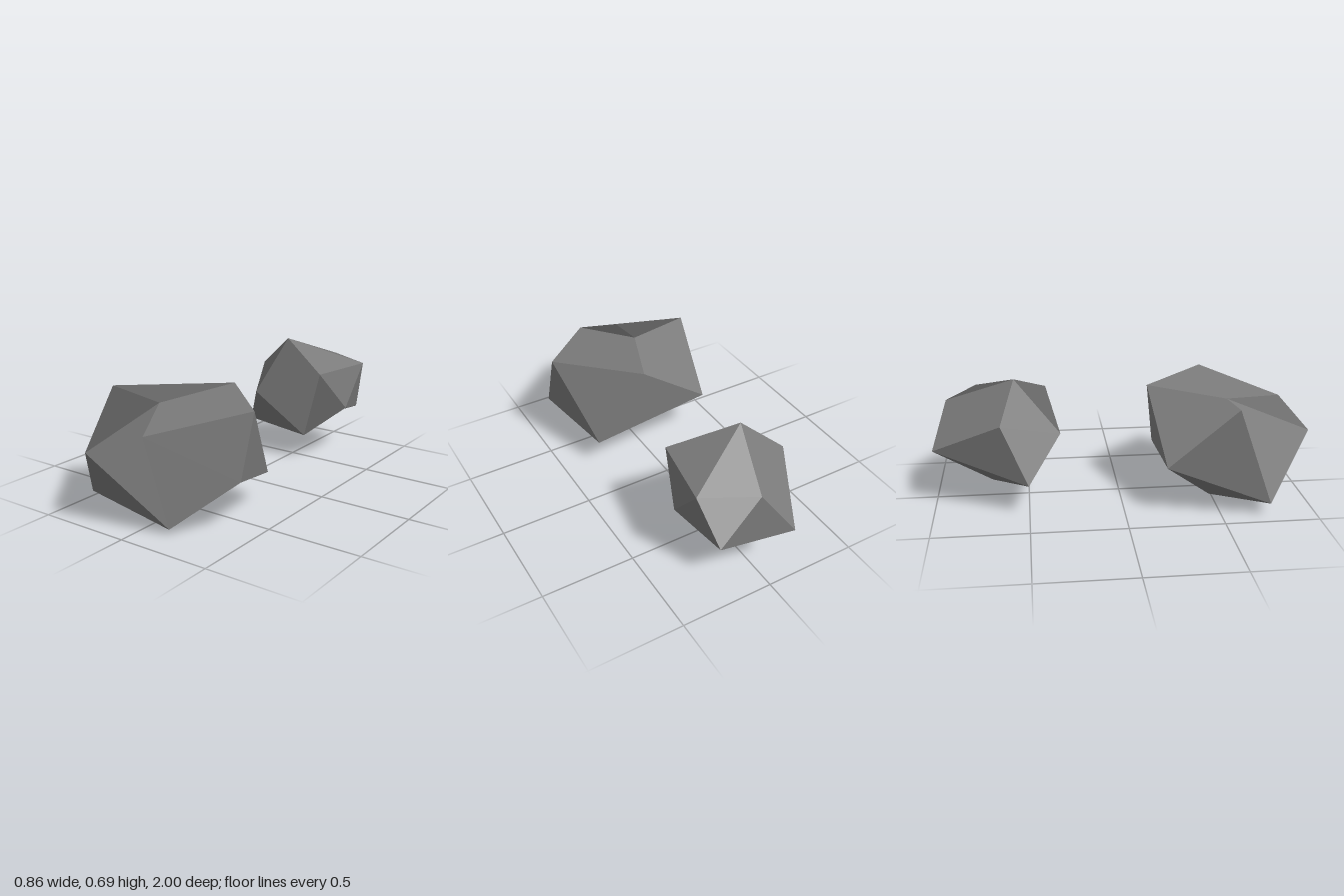
import * as THREE from 'three';

const material = new THREE.MeshStandardMaterial({ color: 0x7b7b7b });

// Corner numbers: 0 peak, 1-5 upper ring, 6-10 lower ring, 11 base.
// Four-cornered facets are bent along their first-third diagonal.
const sharedFacets = [
  [1, 6, 2, 0], [2, 7, 3, 0], [3, 8, 4, 0],    // back, left and front shoulders
  [6, 7, 2], [7, 8, 3], [9, 10, 5],            // flanks
  [11, 10, 9, 8], [11, 7, 6, 10], [11, 8, 7]   // underside
];
const largeRightSide = [[0, 4, 5, 1], [4, 8, 9, 5], [10, 6, 1, 5]];
const smallRightSide = [[5, 10, 1, 0], [0, 4, 5], [4, 9, 5], [8, 9, 4], [10, 6, 1]];

// A faceted boulder in which every facet, even a bent one, is shaded evenly
function makeRock(name, corners, facets) {
  const points = corners.map(c => new THREE.Vector3(...c));
  const positions = [], normals = [];
  for (const facet of facets) {
    const [a, b, c, d = a] = facet.map(i => points[i]);
    // Cross product of the diagonals (of two edges for a triangle)
    const normal = c.clone().sub(a).cross(d.clone().sub(b)).normalize();
    const triangles = facet.length === 4 ? [a, b, c, a, c, d] : [a, b, c];
    for (const p of triangles) {
      positions.push(...p.toArray());
      normals.push(...normal.toArray());
    }
  }
  const geometry = new THREE.BufferGeometry();
  geometry.setAttribute('position', new THREE.Float32BufferAttribute(positions, 3));
  geometry.setAttribute('normal', new THREE.Float32BufferAttribute(normals, 3));
  const mesh = new THREE.Mesh(geometry, material);
  mesh.name = name;
  return mesh;
}

export function createModel() {
  const group = new THREE.Group();
  group.name = 'rocks';

  // Large rock at the front
  group.add(makeRock('largeRock', [
    [-0.115, 0.55, 0.57],
    [0.05, 0.59, 0.16], [-0.43, 0.59, 0.57], [-0.21, 0.39, 1.0], [0.075, 0.5, 0.91], [0.43, 0.59, 0.525],
    [-0.37, 0.265, 0.215], [-0.427, 0.067, 0.755], [0.15, 0.028, 0.83], [0.43, 0.27, 0.635], [0.31, 0.17, 0.23],
    [-0.12, 0.0, 0.49]
  ], [...sharedFacets, ...largeRightSide]));

  // Small rock at the back, slightly raised
  group.add(makeRock('smallRock', [
    [-0.083, 0.685, -0.56],
    [0.04, 0.545, -0.925], [-0.3, 0.5, -0.635], [-0.15, 0.4, -0.325], [0.24, 0.545, -0.39], [0.305, 0.545, -0.78],
    [-0.12, 0.315, -1.0], [-0.305, 0.17, -0.5], [0.107, 0.145, -0.45], [0.305, 0.315, -0.585], [0.22, 0.245, -0.875],
    [-0.09, 0.128, -0.69]
  ], [...sharedFacets, ...smallRightSide]));

  return group;
}
